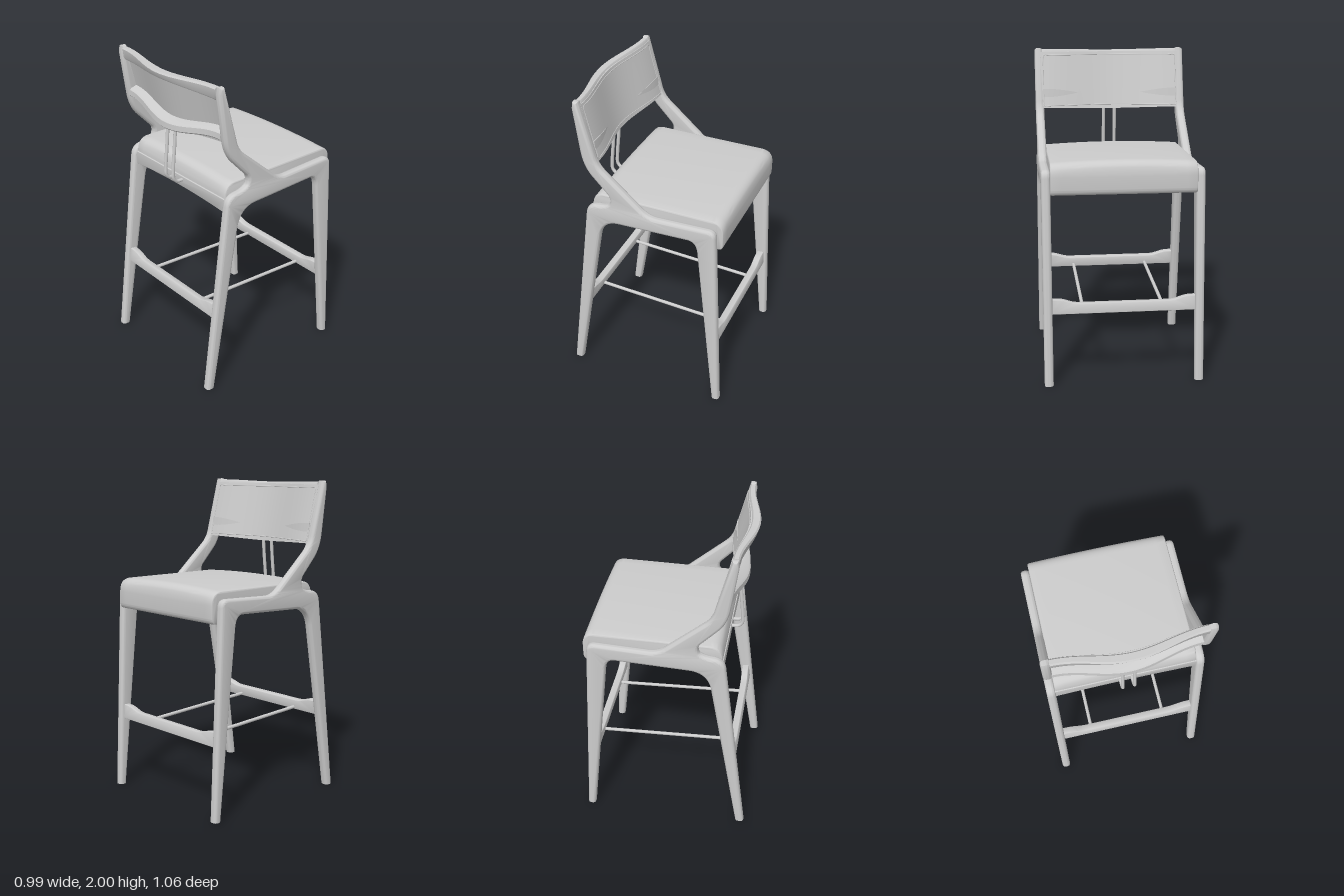
import * as THREE from 'three';
import { toCreasedNormals } from 'three/addons/utils/BufferGeometryUtils.js';

const grey = new THREE.MeshStandardMaterial({ color: 0xcccccc });
grey.name = 'light grey';

const part = (name, geometry) => {
  const mesh = new THREE.Mesh(geometry, grey);
  mesh.name = name;
  return mesh;
};

// Rounded extrusion, centred on its depth; width includes the bevel
function slab(shape, width, bevel, steps = 1) {
  const geo = new THREE.ExtrudeGeometry(shape, {
    depth: width - 2 * bevel, steps, curveSegments: 10,
    bevelThickness: bevel, bevelSize: bevel * 0.85, bevelOffset: -bevel * 0.85, bevelSegments: 5,
  });
  return geo.translate(0, 0, bevel - width / 2);
}

// Backward bow of the backrest: 1 in the middle, 0 at the uprights
const bow = (x) => Math.cos(Math.PI / 2 * Math.min(1, Math.abs(x) / 0.44)) ** 2;

// Lofts a closed (z, y) section across x
function loft(half, section, n = 40) {
  const pos = [], index = [];
  const m = section(0, 1).length;
  for (let i = 0; i <= n; i++) {
    const x = -half + 2 * half * i / n;
    for (const [z, y] of section(x, bow(x))) pos.push(x, y, z);
  }
  for (let i = 0; i < n; i++) {
    for (let j = 0; j < m; j++) {
      const a = i * m + j, b = i * m + (j + 1) % m;
      index.push(a, b, a + m, b, b + m, a + m);
    }
  }
  for (let j = 1; j < m - 1; j++) {
    index.push(0, j + 1, j, n * m, n * m + j, n * m + j + 1);
  }
  const geo = new THREE.BufferGeometry();
  geo.setAttribute('position', new THREE.Float32BufferAttribute(pos, 3));
  geo.setIndex(index);
  return toCreasedNormals(geo, 0.6);
}

// Legs, seat support and upright in one outline, drawn as (z, y)
function sideFrame() {
  const s = new THREE.Shape();
  s.moveTo(0.528, -0.03);
  s.lineTo(0.372, 1.25);
  s.quadraticCurveTo(0.364, 1.315, 0.30, 1.322);
  s.quadraticCurveTo(0.235, 1.328, 0.213, 1.35);
  s.quadraticCurveTo(0.195, 1.39, 0.22, 1.42);
  s.lineTo(0.325, 1.53);
  s.quadraticCurveTo(0.375, 1.59, 0.387, 1.68);
  s.lineTo(0.425, 1.96);
  s.lineTo(0.418, 2.0);
  s.lineTo(0.386, 2.0);
  s.lineTo(0.298, 1.67);
  s.quadraticCurveTo(0.285, 1.605, 0.24, 1.565);
  s.lineTo(0.02, 1.375);
  s.quadraticCurveTo(-0.03, 1.325, -0.09, 1.325);
  s.lineTo(-0.42, 1.338);
  s.quadraticCurveTo(-0.467, 1.338, -0.471, 1.29);
  s.lineTo(-0.528, -0.03);
  s.lineTo(-0.478, -0.03);
  s.lineTo(-0.358, 1.16);
  s.quadraticCurveTo(-0.35, 1.236, -0.30, 1.235);
  s.lineTo(0.16, 1.217);
  s.quadraticCurveTo(0.26, 1.21, 0.285, 1.10);
  s.lineTo(0.473, -0.03);
  s.closePath();
  const geo = slab(s, 0.055, 0.022).rotateY(-Math.PI / 2);
  const p = geo.attributes.position;
  for (let i = 0; i < p.count; i++) p.setY(i, Math.max(0, p.getY(i))); // flat feet
  return toCreasedNormals(geo, 0.7);
}

// Cushion with a waterfall lip, crowned across its width
function seat() {
  const s = new THREE.Shape();
  s.moveTo(0.33, 1.278);
  s.lineTo(0.347, 1.285);
  s.quadraticCurveTo(0.345, 1.372, 0.27, 1.376);
  s.lineTo(-0.42, 1.38);
  s.quadraticCurveTo(-0.503, 1.382, -0.503, 1.30);
  s.lineTo(-0.503, 1.225);
  s.quadraticCurveTo(-0.50, 1.19, -0.475, 1.19);
  s.lineTo(-0.452, 1.19);
  s.lineTo(-0.438, 1.272);
  s.closePath();
  const geo = slab(s, 0.884, 0.01, 16).rotateY(-Math.PI / 2);
  const p = geo.attributes.position;
  for (let i = 0; i < p.count; i++) {
    if (p.getY(i) > 1.33) p.setY(i, p.getY(i) + 0.014 * (1 - (p.getX(i) / 0.442) ** 2));
  }
  return toCreasedNormals(geo, 0.7);
}

// Foot rail with raised ends
function footRail() {
  const s = new THREE.Shape();
  s.moveTo(-0.45, 0);
  s.lineTo(0.45, 0);
  s.lineTo(0.45, 0.095);
  s.lineTo(0.40, 0.093);
  s.bezierCurveTo(0.34, 0.085, 0.33, 0.066, 0.27, 0.066);
  s.lineTo(-0.27, 0.066);
  s.bezierCurveTo(-0.33, 0.066, -0.34, 0.085, -0.40, 0.093);
  s.lineTo(-0.45, 0.095);
  s.closePath();
  return toCreasedNormals(slab(s, 0.045, 0.007), 0.7);
}

// Rail under the rear of the seat, arched below
function seatRail() {
  const s = new THREE.Shape();
  s.moveTo(-0.445, 1.195);
  s.quadraticCurveTo(0, 1.23, 0.445, 1.195);
  s.lineTo(0.445, 1.283);
  s.lineTo(-0.445, 1.283);
  s.closePath();
  return toCreasedNormals(slab(s, 0.03, 0.004).translate(0, 0, 0.338), 0.7);
}

// Front surface of the backrest panel
const panelZ = (x, y) => 0.287 + (y - 1.61) * 0.25 + bow(x) * (0.063 - (y - 1.61) * 0.03);

const tube = (points, radius, closed = false, segments = 48) => new THREE.TubeGeometry(
  new THREE.CatmullRomCurve3(points, closed, 'centripetal'), segments, radius, 10, closed);

export function createModel() {
  const model = new THREE.Group();
  model.name = 'barStool';

  for (const side of [-1, 1]) {
    const frame = part(side > 0 ? 'leftSideFrame' : 'rightSideFrame', sideFrame());
    frame.position.x = side * 0.4675;
    model.add(frame);
  }
  model.add(part('seat', seat()), part('seatRail', seatRail()));

  // Foot rails follow the lean of the legs
  for (const [name, y, z, tilt] of [['backrestFootRail', 0.49, 0.428, -0.13], ['entryFootRail', 0.45, -0.468, 0.07]]) {
    const rail = part(name, footRail());
    rail.position.set(0, y, z);
    rail.rotation.x = tilt;
    model.add(rail);
  }
  for (const x of [-0.25, 0.25]) {
    const path = new THREE.LineCurve3(new THREE.Vector3(x, 0.503, 0.42), new THREE.Vector3(x, 0.463, -0.46));
    model.add(part('footRod', new THREE.TubeGeometry(path, 1, 0.011, 12)));
  }

  // Backrest: thin curved panel between a top rail and a lower support rail
  const panel = loft(0.458, (x, c) => {
    const lo = 1.615 - 0.012 * c, hi = 1.975;
    return [
      [panelZ(x, hi), hi], [panelZ(x, hi) + 0.018, hi],
      [panelZ(x, lo) + 0.018, lo], [panelZ(x, lo), lo],
    ];
  });
  model.add(part('backrestPanel', panel));

  model.add(part('topRail', loft(0.445, (x, c) => {
    const top = 1.994 - 0.01 * c, low = 1.915 + 0.022 * c;
    const front = 0.382 + 0.055 * c, back = 0.422 + 0.07 * c;
    return [
      [front, top - 0.01], [front + 0.008, top], [back - 0.008, top], [back, top - 0.01],
      [back - 0.008, low + 0.012], [back - 0.015, low + 0.002], [front - 0.008, low],
    ];
  })));

  model.add(part('lowerRail', loft(0.445, (x, c) => {
    const z = -0.06 * (1 - c), y = 0.055 * (1 - c);
    return [
      [0.372 + z, 1.685 + y], [0.432 + z, 1.667 + y], [0.444 + z, 1.655 + y],
      [0.446 + z, 1.622 + y], [0.438 + z, 1.614 + y], [0.366 + z, 1.632 + y],
    ];
  })));

  // Stitched border on the panel
  const stitch = [];
  const corners = [[-0.44, 1.63], [0.44, 1.63], [0.44, 1.955], [-0.44, 1.955]];
  corners.forEach(([x0, y0], k) => {
    const [x1, y1] = corners[(k + 1) % 4];
    for (let i = 0; i < 16; i++) {
      const x = x0 + (x1 - x0) * i / 16, y = y0 + (y1 - y0) * i / 16;
      stitch.push(new THREE.Vector3(x, y, panelZ(x, y)));
    }
  });
  model.add(part('panelStitching', tube(stitch, 0.003, true, 160)));

  // Pair of bent rods joined into one loop behind the seat rail
  const arm = [[1.64, 0.392], [1.5, 0.403], [1.34, 0.418], [1.29, 0.417], [1.264, 0.395], [1.26, 0.36], [1.26, 0.315]];
  const loop = [
    ...arm.map(([y, z]) => new THREE.Vector3(0.037, y, z)),
    new THREE.Vector3(0, 1.26, 0.30),
    ...arm.slice().reverse().map(([y, z]) => new THREE.Vector3(-0.037, y, z)),
  ];
  model.add(part('backRods', tube(loop, 0.011, false, 96)));

  return model;
}
